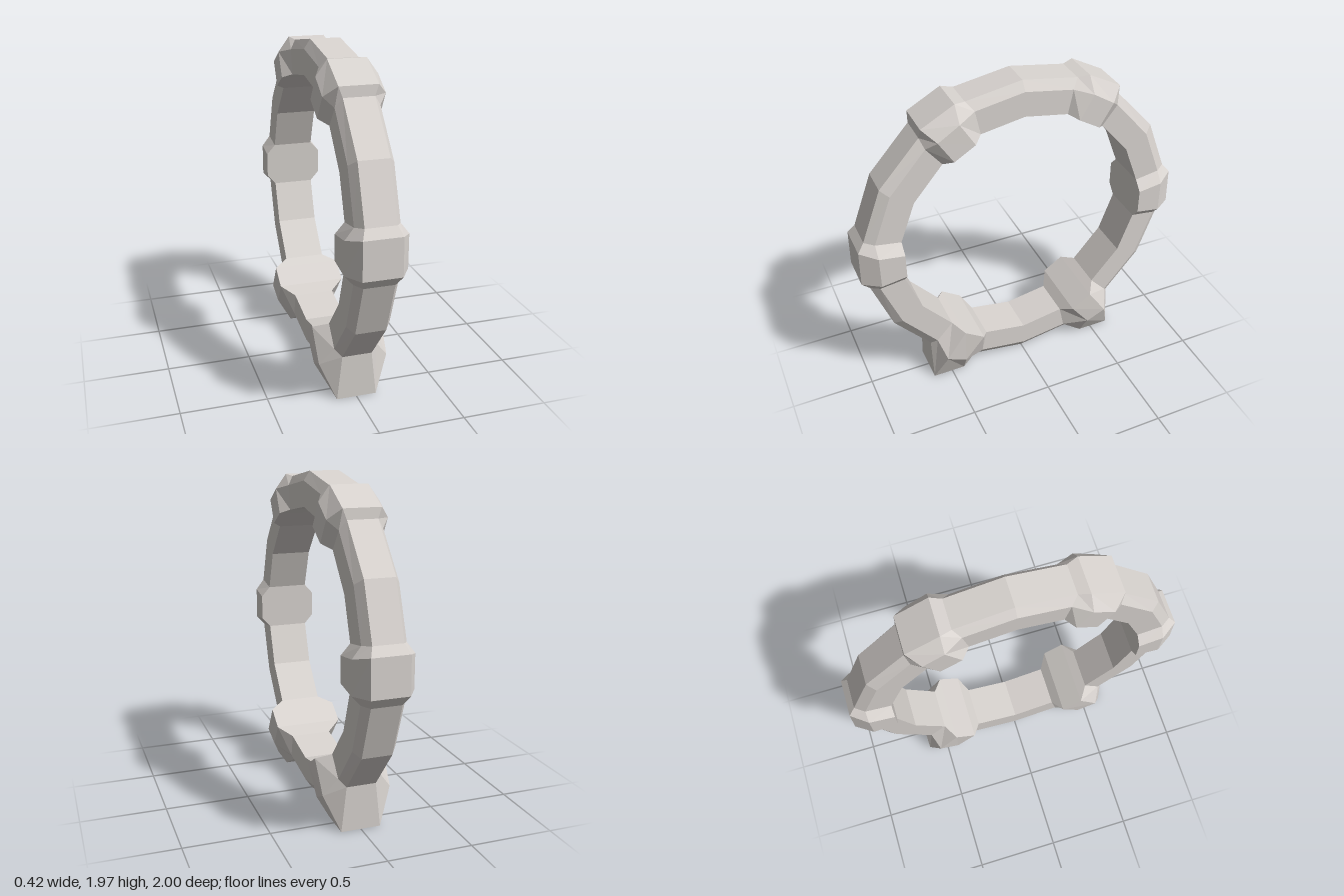
import * as THREE from 'three';

const stone = new THREE.MeshStandardMaterial({ color: 0xd8d3cf });
stone.name = 'pale stone grey';

// Half widths in x at the inner rim, the side edge and the outer rim
const BAND = [0.125, 0.125, 0.088];
const COLLAR = [0.178, 0.175, 0.11];
const FOOT_BACK = [0.21, 0.2, 0.118];
const FOOT_FRONT = [0.21, 0.205, 0.118];

// A section: widths plus inner, side and outer points as [z, y]
const sec = (w, inner, side, outer) => ({ w, p: [inner, side, outer] });

// Key sections of the front half, from the crown down to the base
const crown = sec(BAND, [0, 1.76], [0, 1.91], [0, 1.965]);
const upperCollar = [
  sec(BAND, [0.26, 1.715], [0.29, 1.86], [0.33, 1.91]),
  sec(COLLAR, [0.31, 1.69], [0.395, 1.83], [0.395, 1.92]),
  sec(COLLAR, [0.435, 1.615], [0.52, 1.75], [0.59, 1.815]),
  sec(BAND, [0.485, 1.585], [0.575, 1.7], [0.595, 1.755]),
];
const upperBend = sec(BAND, [0.66, 1.38], [0.79, 1.455], [0.835, 1.49]);
const sideCollar = [
  sec(BAND, [0.75, 1.14], [0.9, 1.165], [0.955, 1.175]),
  sec(COLLAR, [0.75, 1.08], [0.9, 1.1], [0.995, 1.125]),
  sec(COLLAR, [0.75, 0.93], [0.9, 0.905], [1, 0.905]),
  sec(BAND, [0.75, 0.87], [0.9, 0.85], [0.95, 0.845]),
];
const lowerBend = sec(BAND, [0.66, 0.625], [0.79, 0.555], [0.835, 0.525]);
const foot = [
  sec(BAND, [0.485, 0.42], [0.585, 0.31], [0.62, 0.27]),
  sec(FOOT_FRONT, [0.43, 0.385], [0.55, 0.205], [0.62, 0]),
  sec(FOOT_BACK, [0.31, 0.305], [0.43, 0.145], [0.42, 0]),
  sec(BAND, [0.26, 0.25], [0.29, 0.105], [0.33, 0.06]),
];
const base = sec(BAND, [0, 0.205], [0, 0.06], [0, 0.005]);

// Six corners of a section, mirrored in x
function corners({ w, p }) {
  const right = p.map(([z, y], i) => [w[i], y, z]);
  const left = p.map(([z, y], i) => [-w[i], y, z]).reverse();
  return [...right, ...left];
}

// Flat-shaded skin through a row of sections
function loft(name, sections) {
  const loops = sections.map(corners);
  const pos = [];
  for (let i = 0; i < loops.length - 1; i++) {
    for (let j = 0; j < 6; j++) {
      const k = (j + 1) % 6;
      const [a, b, c, d] = [loops[i][j], loops[i][k], loops[i + 1][k], loops[i + 1][j]];
      pos.push(...a, ...b, ...c, ...a, ...c, ...d);
    }
  }
  const geo = new THREE.BufferGeometry();
  geo.setAttribute('position', new THREE.Float32BufferAttribute(pos, 3));
  geo.computeVertexNormals();
  const mesh = new THREE.Mesh(geo, stone);
  mesh.name = name;
  return mesh;
}

// The same sections on the back half, reversed to keep faces outward
const mirrorZ = (sections) =>
  sections.map(({ w, p }) => ({ w, p: p.map(([z, y]) => [-z, y]) })).reverse();

export function createModel() {
  const group = new THREE.Group();
  group.name = 'standingRing';

  const parts = {
    crownBand: [crown, upperCollar[0]],
    upperCollar,
    upperBand: [upperCollar[3], upperBend, sideCollar[0]],
    sideCollar,
    lowerBand: [sideCollar[3], lowerBend, foot[0]],
    foot,
    baseBand: [foot[3], base],
  };

  for (const [name, sections] of Object.entries(parts)) {
    const suffix = name[0].toUpperCase() + name.slice(1);
    group.add(loft('front' + suffix, sections));
    group.add(loft('back' + suffix, mirrorZ(sections)));
  }
  return group;
}
